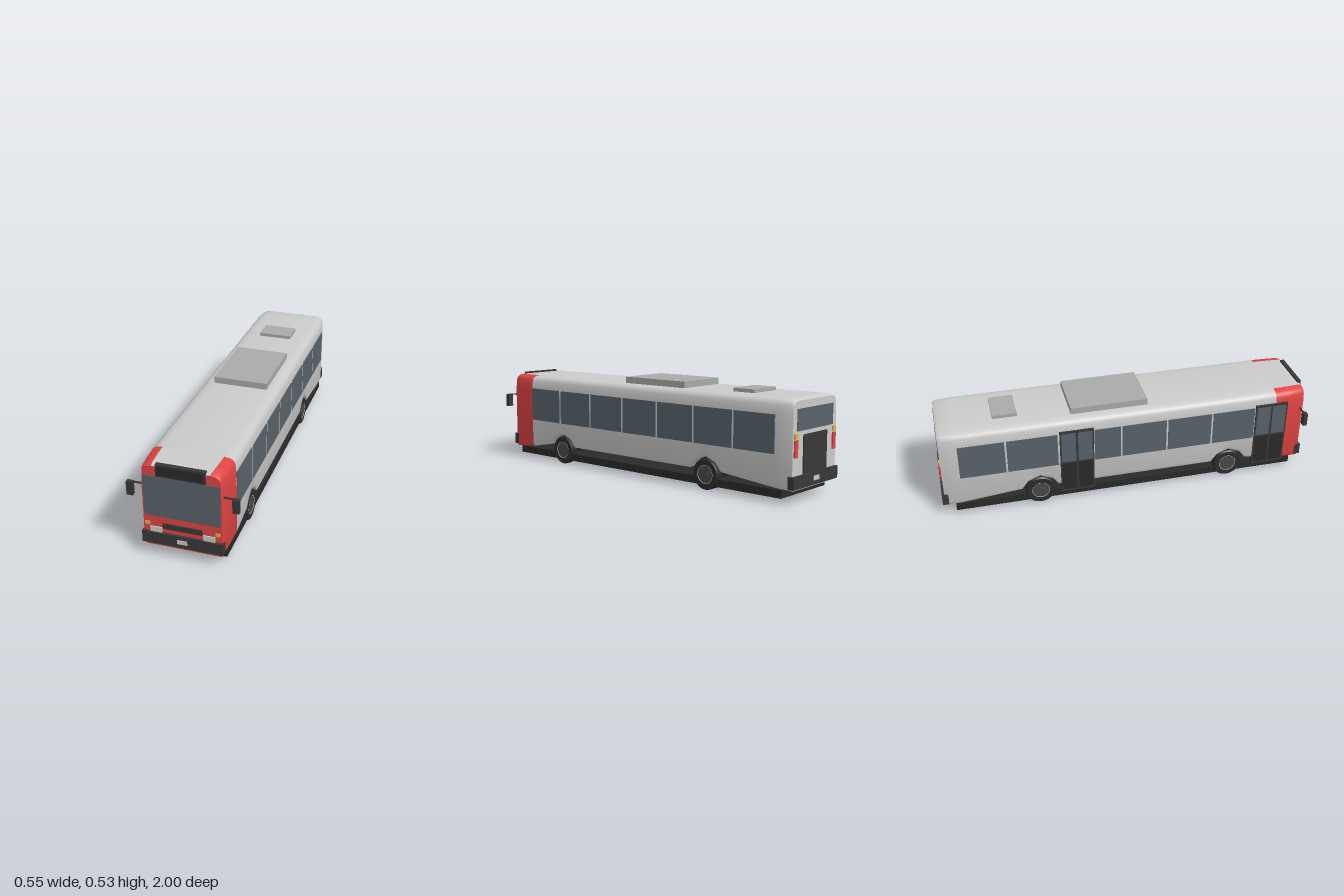
import * as THREE from 'three';
import { toCreasedNormals } from 'three/addons/utils/BufferGeometryUtils.js';

const mat = (color) => new THREE.MeshStandardMaterial({ color, side: THREE.DoubleSide });
const M = {
  grey: mat(0xcccccc), red: mat(0xe04444), black: mat(0x383838), tyre: mat(0x2c2c2c), floor: mat(0x2a2a2a),
  glass: mat(0x59636b), unit: mat(0xaaaaaa), lamp: mat(0xc8c8c8), amber: mat(0xe0b040), hub: mat(0x484848),
};
const AXLES = [0.567, -0.48];

export function createModel() {
  const bus = new THREE.Group();
  bus.name = 'cityBus';

  const add = (name, geo, material, parent = bus) => {
    const mesh = new THREE.Mesh(geo, material);
    mesh.name = name;
    parent.add(mesh);
    return mesh;
  };
  // Box given by its limits on each axis
  const box = (name, material, [x0, x1], [y0, y1], [z0, z1], parent) => {
    const mesh = add(name, new THREE.BoxGeometry(Math.abs(x1 - x0), y1 - y0, Math.abs(z1 - z0)), material, parent);
    mesh.position.set((x0 + x1) / 2, (y0 + y1) / 2, (z0 + z1) / 2);
    return mesh;
  };

  // Body stations: [z, half width, bottom, top]; the bottom rises over the wheels
  const arch = (c) => [[0.098, 0.105], [0.066, 0.147], [0, 0.175], [-0.066, 0.147], [-0.098, 0.105]]
    .map(([dz, y]) => [c + dz, 0.209, y, 0.496]);
  const front = [[0.985, 0.193, 0.057, 0.49], [0.972, 0.198, 0.06, 0.496], [0.9, 0.205, 0.068, 0.496], [0.82, 0.209, 0.075, 0.496]];
  const rear = [[-0.9, 0.208, 0.073, 0.496], [-0.97, 0.198, 0.067, 0.496], [-0.985, 0.193, 0.065, 0.488]];
  const main = [front[3], ...arch(AXLES[0]), ...arch(AXLES[1]), ...rear];

  // Cross-section, from the roof edge at +x down, under and up to the roof edge at -x
  const ring = ([z, w, yb, yt]) => {
    const half = [[0.72, yt], [0.87, yt - 0.005], [0.94, yt - 0.014], [0.975, yt - 0.031],
      [0.99, yt - 0.066], [1, yt - 0.11], [1, yb + 0.02], [0.96, yb]];
    return [...half, ...half.slice().reverse().map(([x, y]) => [-x, y])].map(([x, y]) => [x * w, y, z]);
  };
  const loft = (name, stations, material, from, to) => {
    const rings = stations.map(ring), n = rings[0].length, pos = [];
    for (let s = 0; s < rings.length - 1; s++) {
      for (let i = from; i < to; i++) {
        const j = (i + 1) % n;
        const a = rings[s][i], b = rings[s][j], c = rings[s + 1][j], d = rings[s + 1][i];
        pos.push(...a, ...d, ...b, ...b, ...d, ...c);
      }
    }
    let geo = new THREE.BufferGeometry();
    geo.setAttribute('position', new THREE.Float32BufferAttribute(pos, 3));
    geo.computeVertexNormals();
    add(name, toCreasedNormals(geo, 0.7), material);
  };
  const cap = (name, station, material) => {
    const shape = new THREE.Shape(ring(station).map(([x, y]) => new THREE.Vector2(x, y)));
    const geo = new THREE.ShapeGeometry(shape);
    if (station[0] < 0) geo.scale(-1, 1, 1).rotateY(0);
    add(name, geo, material).position.z = station[0];
  };
  loft('bodyShell', main, M.grey, 0, 16);
  loft('frontShell', front, M.red, 0, 15);
  loft('frontRoof', front, M.grey, 15, 16);
  cap('frontFace', front[0], M.red);
  cap('rearFace', rear[2], M.grey);

  // Floor slab and roof units
  box('floor', M.floor, [-0.198, 0.198], [0.025, 0.065], [-0.93, 0.936]);
  box('roofUnit', M.unit, [-0.145, 0.143], [0.485, 0.53], [-0.295, 0.115]);
  box('roofHatch', M.unit, [-0.095, 0.09], [0.485, 0.514], [-0.695, -0.567]);

  // Side windows: unbroken on the left, interrupted by doors on the right
  const pane = (side, z0, z1) =>
    box('sideWindow', M.glass, [side * 0.2, side * 0.2115], [0.235, 0.422], [z0, z1]);
  for (let i = 0; i < 7; i++) {
    const z = 0.818 - i * 0.2462;
    pane(1, z, z - 0.236);
    if (i < 6) box('windowPost', M.lamp, [0.2, 0.211], [0.235, 0.422], [z - 0.236, z - 0.2462]);
  }
  [[0.7, 0.465], [0.455, 0.215], [0.205, -0.035], [-0.045, -0.185], [-0.38, -0.645], [-0.655, -0.893]]
    .forEach(([a, b]) => pane(-1, a, b));

  // Two-leaf doors
  for (const z of [0.795, -0.28]) {
    const door = new THREE.Group();
    door.name = 'door';
    bus.add(door);
    box('doorFrame', M.black, [-0.216, -0.19], [0.06, 0.437], [z - 0.09, z + 0.09], door);
    for (const s of [-1, 1]) {
      box('doorGlass', M.glass, [-0.2175, -0.21], [0.25, 0.425], [z + s * 0.006, z + s * 0.082], door);
      box('doorPanel', M.floor, [-0.2175, -0.21], [0.075, 0.24], [z + s * 0.006, z + s * 0.082], door);
    }
  }

  // Front fittings
  box('windscreen', M.glass, [-0.187, 0.187], [0.222, 0.438], [0.975, 0.988]);
  box('signHousing', M.black, [-0.12, 0.12], [0.442, 0.505], [0.97, 0.992]);
  box('signScreen', M.floor, [-0.112, 0.112], [0.45, 0.497], [0.98, 0.994]);
  box('grille', M.black, [-0.097, 0.097], [0.16, 0.188], [0.975, 0.991]);

  // Bumpers and plates at both ends
  for (const e of [1, -1]) {
    box('bumper', M.black, [-0.2, 0.2], [0.073, 0.135], [e * 0.965, e * 0.998]);
    box('plate', M.lamp, [-0.025, 0.025], [0.094, 0.117], [e * 0.98, e]);
  }

  // Rear fittings
  box('rearWindow', M.glass, [-0.16, 0.16], [0.345, 0.45], [-0.988, -0.975]);
  box('engineCover', M.black, [-0.105, 0.105], [0.135, 0.325], [-0.99, -0.975]);

  // Lamps and mirrors on both sides
  for (const s of [1, -1]) {
    box('headlight', M.lamp, [s * 0.102, s * 0.16], [0.135, 0.163], [0.975, 0.991]);
    box('frontIndicator', M.amber, [s * 0.161, s * 0.185], [0.17, 0.186], [0.975, 0.991]);
    box('tailLight', M.red, [s * 0.157, s * 0.184], [0.222, 0.305], [-0.992, -0.975]);
    box('rearIndicator', M.amber, [s * 0.157, s * 0.184], [0.31, 0.335], [-0.992, -0.975]);
    box('mirrorArm', M.black, [s * 0.19, s * 0.25], [0.375, 0.381], [0.965, 0.973]);
    box('mirror', M.black, [s * 0.241, s * 0.273], [0.31, 0.381], [0.961, 0.983]);
  }

  // Wheels: single at the front, twin at the rear
  const h = 0.0215;
  const tyreGeo = toCreasedNormals(new THREE.LatheGeometry(
    [[0.048, -h], [0.074, -h], [0.08, 0.007 - h], [0.08, h - 0.007], [0.074, h], [0.048, h]]
      .map(([r, y]) => new THREE.Vector2(r, y)), 28).rotateZ(Math.PI / 2), 0.6);
  const hubGeo = new THREE.CylinderGeometry(0.049, 0.049, 0.036, 28).rotateZ(Math.PI / 2);
  const rimGeo = new THREE.TorusGeometry(0.047, 0.0015, 6, 28).rotateY(Math.PI / 2);
  const capGeo = new THREE.CylinderGeometry(0.018, 0.018, 0.041, 16).rotateZ(Math.PI / 2);
  const wellGeo = new THREE.CylinderGeometry(0.103, 0.103, 0.31, 16, 1, false, 0, Math.PI).rotateZ(Math.PI / 2);
  AXLES.forEach((z, axle) => {
    add('wheelWell', wellGeo, M.floor).position.set(0, 0.078, z);
    for (const s of [1, -1]) {
      for (const x of axle ? [0.1815, 0.132] : [0.1815]) {
        const wheel = new THREE.Group();
        wheel.name = axle ? 'rearWheel' : 'frontWheel';
        wheel.position.set(s * x, 0.08, z);
        bus.add(wheel);
        add('tyre', tyreGeo, M.tyre, wheel);
        add('hub', hubGeo, M.hub, wheel);
        add('hubCap', capGeo, M.hub, wheel);
        add('rim', rimGeo, M.lamp, wheel).position.x = s * 0.0205;
      }
    }
  });
  return bus;
}
